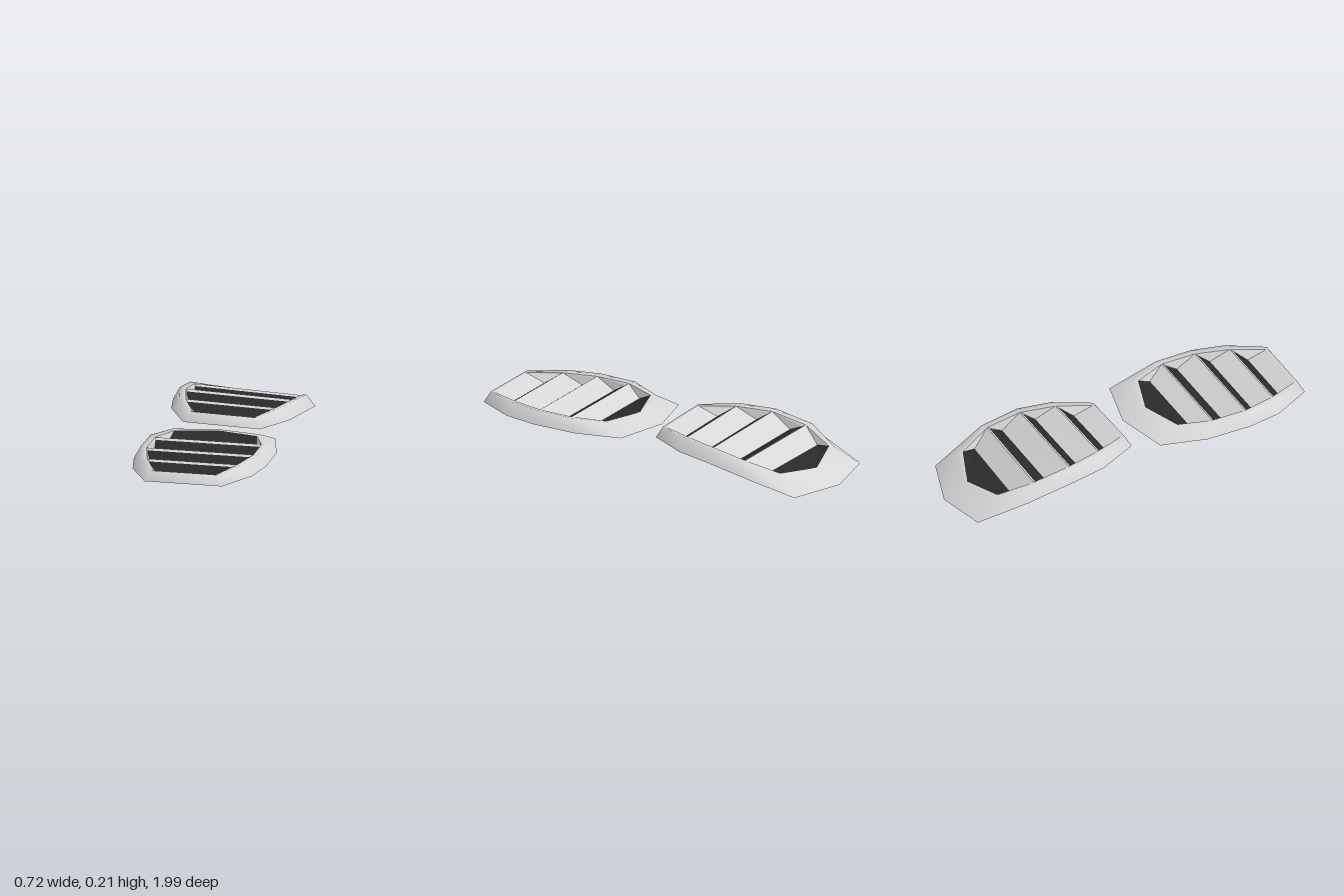
import * as THREE from 'three';

const shellGrey = new THREE.MeshStandardMaterial({ color: 0xd6d6d6, side: THREE.DoubleSide });
shellGrey.name = 'shell grey';
const meshBlack = new THREE.MeshStandardMaterial({ color: 0x2a2a2a, side: THREE.DoubleSide });
meshBlack.name = 'mesh black';

// Half outlines from the pointed rear to the blunt front: [x, y, z]
const BASE = [[0, .135, .05], [.284, .135, .12], [.347, .135, .36], [.347, .135, .61], [.313, .135, .79], [.203, .135, .995]];
const RIDGE = [[0, .178, .165], [.23, .184, .225], [.308, .198, .40], [.311, .2, .605], [.272, .198, .78], [.175, .187, .97]];
const INNER = [[0, .176, .18], [.217, .182, .25], [.28, .193, .42], [.28, .194, .61], [.236, .192, .79], [.16, .183, .96]];
// Valleys between the louvres
const LOW = [[.23, .145, .325], [.266, .143, .5], [.248, .143, .68], [.172, .143, .86]];

const mirror = ([x, y, z]) => [-x, y, z];
const fullLoop = half => [...half, ...half.slice(1).reverse().map(mirror)];

function makeMesh(name, points, index, material) {
  const g = new THREE.BufferGeometry();
  g.setAttribute('position', new THREE.Float32BufferAttribute(points.flat(), 3));
  if (index) g.setIndex(index);
  g.computeVertexNormals();
  const mesh = new THREE.Mesh(g, material);
  mesh.name = name;
  return mesh;
}

// Flat-shaded triangles from convex polygons
const fan = polygons => polygons.flatMap(p =>
  p.slice(2).flatMap((_, i) => [p[0], p[i + 1], p[i + 2]]));

function createVent(name, place) {
  const group = new THREE.Group();
  group.name = name;
  const addFaces = (part, polygons, material) =>
    group.add(makeMesh(part, fan(polygons).map(place), null, material));

  // Smooth sloping rim, joined from three outlines
  const loops = [BASE, RIDGE, INNER].map(fullLoop);
  const n = loops[0].length;
  const index = [];
  for (let r = 0; r < 2; r++) {
    for (let i = 0; i < n; i++) {
      const a = r * n + i, b = r * n + (i + 1) % n;
      index.push(a, a + n, b + n, a, b + n, b);
    }
  }
  group.add(makeMesh('rim', loops.flat().map(place), index, shellGrey));

  // Pointed mesh panel at the rear
  const [tip, shoulder] = INNER;
  addFaces('rearMesh', [[tip, mirror(shoulder), mirror(LOW[0]), LOW[0], shoulder]], meshBlack);

  // Louvres rise to the front, each followed by a mesh strip falling to the next valley
  const lipOf = ([x, y, z]) => [x - .008, y - .01, z + .013];
  LOW.forEach((low, k) => {
    const top = INNER[k + 2], before = INNER[k + 1];
    addFaces('louvre', [[low, mirror(low), mirror(top), top]], shellGrey);
    if (k < LOW.length - 1) {
      const lip = lipOf(top), next = LOW[k + 1];
      addFaces('louvreLip', [[top, mirror(top), mirror(lip), lip]], shellGrey);
      addFaces('meshStrip', [[lip, mirror(lip), mirror(next), next]], meshBlack);
    }
    // Side walls of the opening
    const wall = k ? [low, top, before, lipOf(before)] : [low, top, before];
    addFaces('sideWall', [wall, wall.map(mirror).reverse()], shellGrey);
  });
  return group;
}

// Height change along the curved rear vent: [z, dy]
const DROP = [[-1, -.135], [-.92, -.125], [-.66, -.045], [-.42, -.005], [-.2, .005], [0, .005]];
function dropAt(z) {
  let i = 0;
  while (i < DROP.length - 2 && z > DROP[i + 1][0]) i++;
  const [z0, d0] = DROP[i], [z1, d1] = DROP[i + 1];
  return THREE.MathUtils.lerp(d0, d1, THREE.MathUtils.clamp((z - z0) / (z1 - z0), 0, 1));
}

const placeFront = ([x, y, z]) => [x + .013, y, z];

// The rear vent is slightly stretched, skewed, tilted and bent downwards
function placeRear([x, y, z]) {
  const s = (.995 - z) / .945;
  const z2 = -.02 - (.995 - z) * 1.034;
  return [x - .017, Math.max(0, y + dropAt(z2) - .03 * x), z2 + x * .1 * s * s];
}

export function createModel() {
  const model = new THREE.Group();
  model.name = 'louvredVents';
  model.add(createVent('frontVent', placeFront), createVent('rearVent', placeRear));
  return model;
}
